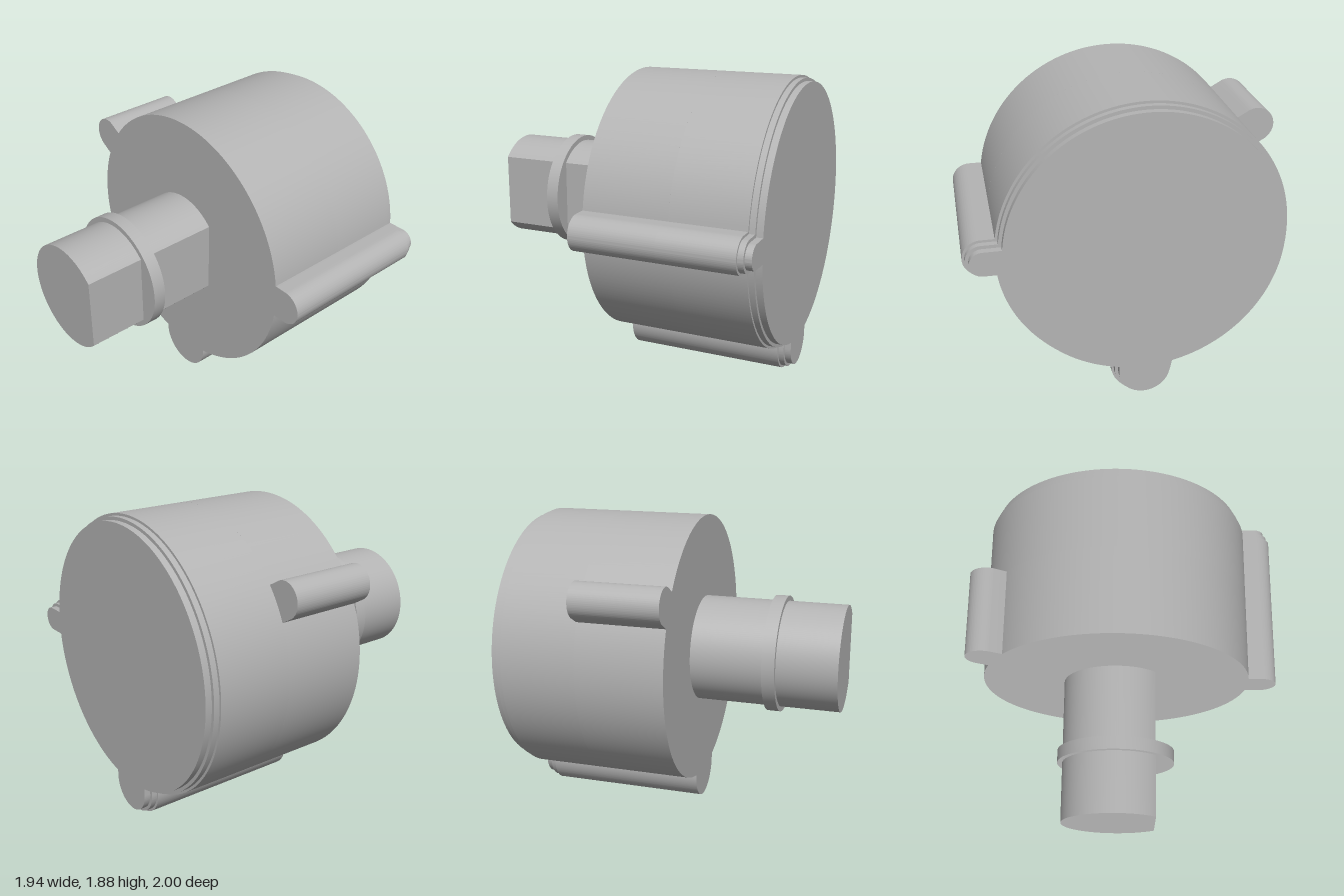
import * as THREE from 'three';
import { toCreasedNormals } from 'three/addons/utils/BufferGeometryUtils.js';

const CX = -0.065, CY = 1.035, RADIUS = 0.85;
const deg = Math.PI / 180;

// Rounded lobes around the housing: angle, distance of centre, half width
const rightLug = { angle: 0, dist: 0.92, width: 0.11 };
const upperLug = { angle: 150 * deg, dist: 0.92, width: 0.11 };
const bottomLug = { angle: 270 * deg, dist: 0.845, width: 0.19 };

// Circle with lobes, shrunk evenly by inset
function housingOutline(lugs, inset) {
  const shape = new THREE.Shape();
  const r = RADIUS - inset;
  lugs.forEach((lug, i) => {
    const w = lug.width - inset, a = lug.angle;
    const next = lugs[(i + 1) % lugs.length];
    const nextAngle = next.angle + (i === lugs.length - 1 ? 2 * Math.PI : 0);
    shape.absarc(lug.dist * Math.cos(a), lug.dist * Math.sin(a), w, a - Math.PI / 2, a + Math.PI / 2, false);
    shape.absarc(0, 0, r, a + Math.asin(w / r), nextAngle - Math.asin((next.width - inset) / r), false);
  });
  return shape;
}

export function createModel() {
  const group = new THREE.Group();
  const grey = new THREE.MeshStandardMaterial({ color: 0xb4b4b4 });
  grey.name = 'plain grey';

  // Extrudes an outline between two depths around the main axis
  function addSlab(name, shape, zBack, zFront) {
    const geometry = new THREE.ExtrudeGeometry(shape, {
      depth: zFront - zBack, bevelEnabled: false, curveSegments: 64,
    });
    const mesh = new THREE.Mesh(toCreasedNormals(geometry, 25 * deg), grey);
    mesh.name = name;
    mesh.position.set(CX, CY, zBack);
    group.add(mesh);
  }

  // Housing: the upper lug only runs along the front half
  const fullLugs = [rightLug, bottomLug];
  addSlab('housingFront', housingOutline([rightLug, upperLug, bottomLug], 0), -0.455, 0.09);
  addSlab('housingRear', housingOutline(fullLugs, 0), -0.925, -0.455);

  // Two shallow steps at the back rim
  addSlab('rearStepOuter', housingOutline(fullLugs, 0.015), -0.96, -0.925);
  addSlab('rearStepInner', housingOutline(fullLugs, 0.035), -1, -0.96);

  // Shaft with one flat side
  const flat = Math.acos(0.245 / 0.335);
  const shaft = new THREE.Shape();
  shaft.absarc(0, 0, 0.335, flat, 2 * Math.PI - flat, false);
  shaft.closePath();
  addSlab('shaft', shaft, 0.09, 1);

  // Round collar on the shaft
  const collar = new THREE.Shape();
  collar.absarc(0, 0, 0.367, 0, 2 * Math.PI, false);
  addSlab('shaftCollar', collar, 0.545, 0.625);

  return group;
}
